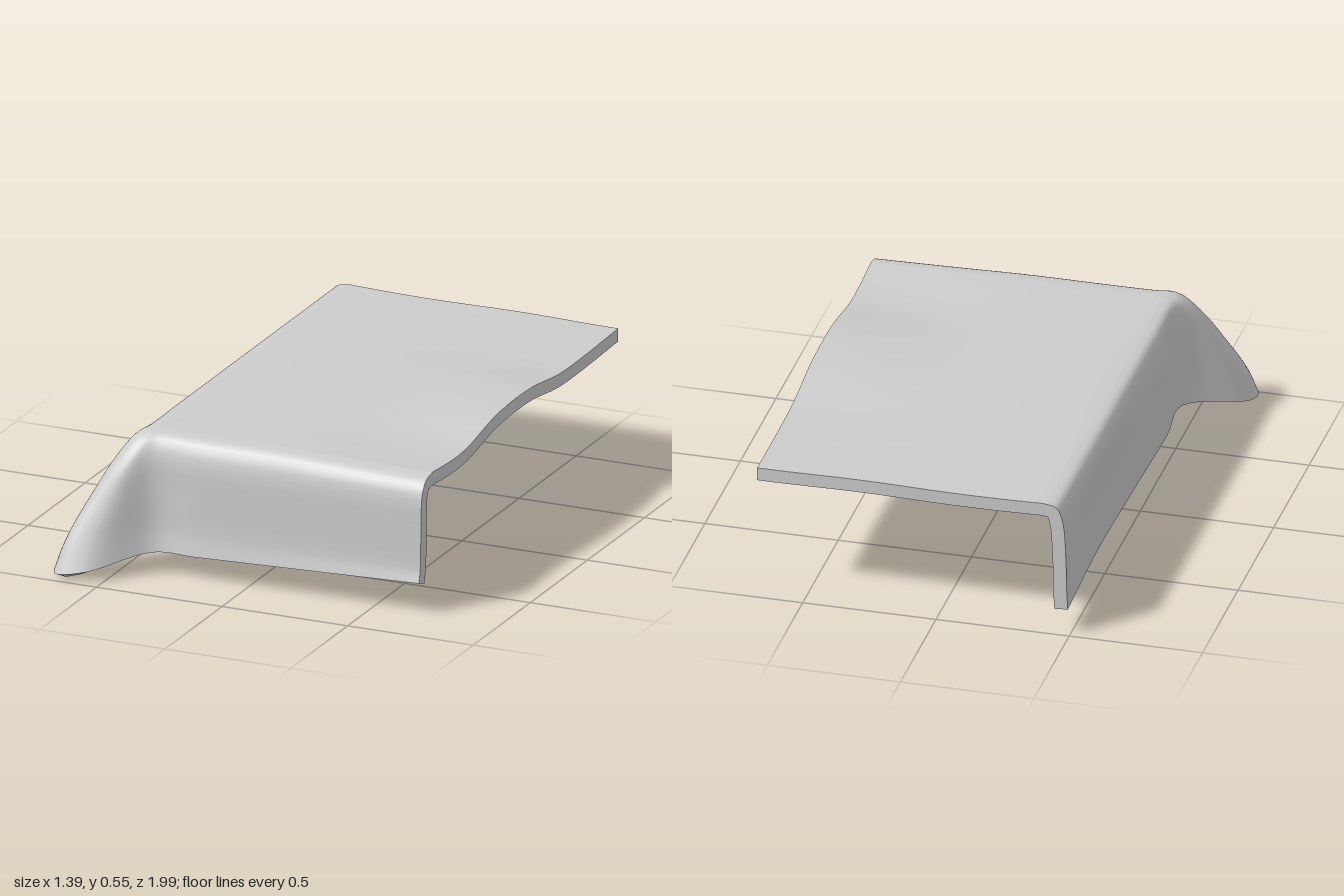
import * as THREE from 'three';

const V = (x, y, z) => new THREE.Vector3(x, y, z);
const THICK = 0.05;

// Gently rolling height of the top, wavier towards the right-hand edge
const waves = new THREE.SplineCurve([[-1, 0.552], [-0.5, 0.547], [-0.2, 0.58], [0.1, 0.577], [0.4, 0.532], [0.7, 0.545]]
  .map(([z, y]) => new THREE.Vector2(z, y)));
const waveTable = waves.getPoints(60);
function topHeight(x, z) {
  let k = waveTable.findIndex((p) => p.x >= z);
  if (k < 0) k = 60;
  const p = waveTable[Math.max(k - 1, 0)], q = waveTable[k];
  const f = q.x > p.x ? THREE.MathUtils.clamp((z - p.x) / (q.x - p.x), 0, 1) : 0;
  const edge = THREE.MathUtils.lerp(p.y, q.y, f);
  const calm = 0.558 + 0.006 * Math.sin(5 * x + 2) * Math.cos(3 * z);
  return THREE.MathUtils.lerp(calm, edge, THREE.MathUtils.smoothstep(x, 0, 0.66));
}

// Drop profiles, from the shoulder down to the hem
function frontDrop(x) {
  const top = topHeight(x, 0.67), hem = 0.115 + 0.035 * (x + 0.4);
  return [V(x, top, 0.67), V(x, top - 0.014, 0.73), V(x, 0.485, 0.765), V(x, 0.34, 0.776),
    V(x, 0.2, 0.782), V(x, hem, 0.795)];
}
function sideDrop(z) {
  const top = topHeight(-0.4, z), w = 0.008 * Math.sin(4 * z);
  return [V(-0.4, top, z), V(-0.45, top - 0.012, z), V(-0.474, 0.49, z), V(-0.48 - w, 0.35, z),
    V(-0.483 - w, 0.22, z), V(-0.487 - w, 0.135, z)];
}

// Corner flap: a ridge sweeping out to the tip, with a rounded side either way
const frontRoot = frontDrop(-0.37), sideRoot = sideDrop(0.64);
const ridge = [V(-0.4, 0.558, 0.67), V(-0.448, 0.54, 0.735), V(-0.51, 0.45, 0.8), V(-0.59, 0.3, 0.87),
  V(-0.65, 0.16, 0.935), V(-0.675, 0.05, 0.98)];
const flapSide = (root, dx, dz) => root.map((p, i) =>
  p.clone().lerp(ridge[i], 0.7).add(V(dx * i / 5, 0, dz * i / 5)));

const keys = [
  ...[0.69, 0.4, 0.1, -0.2].map(frontDrop), frontRoot,
  flapSide(frontRoot, 0.03, 0.045), ridge, flapSide(sideRoot, -0.07, -0.03),
  sideRoot, ...[0.4, 0, -0.5, -0.995].map(sideDrop),
];

// Stations run round the skirt; rows run from the far back corner out to the hem
const APEX = V(0.675, 0, -0.985), STATIONS = 84, TOP_ROWS = 22, DROP_ROWS = 20;
const ROWS = TOP_ROWS + DROP_ROWS;
function clothPoints() {
  const rails = keys[0].map((_, i) => new THREE.CatmullRomCurve3(keys.map((k) => k[i])));
  const grid = [];
  for (let j = 0; j <= STATIONS; j++) {
    const drop = new THREE.CatmullRomCurve3(rails.map((r) => r.getPoint(j / STATIONS)));
    const shoulder = drop.getPoint(0);
    const column = [];
    for (let i = 0; i < TOP_ROWS; i++) {
      const p = APEX.clone().lerp(shoulder, i / TOP_ROWS);
      p.y = topHeight(p.x, p.z);
      column.push(p);
    }
    for (let i = 0; i <= DROP_ROWS; i++) column.push(drop.getPoint(i / DROP_ROWS));
    grid.push(column);
  }
  return grid;
}

function sheet(grid, flip) {
  const index = [], n = ROWS + 1;
  for (let j = 0; j < STATIONS; j++) for (let i = 0; i < ROWS; i++) {
    const a = j * n + i, b = a + n;
    const quad = i ? [a, b, a + 1, b, b + 1, a + 1] : [a, b + 1, a + 1];
    index.push(...(flip ? quad.reverse() : quad));
  }
  const g = new THREE.BufferGeometry().setFromPoints(grid.flat());
  g.setIndex(index);
  g.computeVertexNormals();
  return g;
}

// Flat band closing the thickness along the open edges
function rim(outer, inner) {
  const border = (g) => [...g[0], ...g.slice(1, -1).map((c) => c[ROWS]), ...[...g[STATIONS]].reverse()];
  const o = border(outer), n = border(inner), pts = [];
  for (let k = 0; k < o.length - 1; k++) pts.push(o[k], o[k + 1], n[k], o[k + 1], n[k + 1], n[k]);
  const g = new THREE.BufferGeometry().setFromPoints(pts);
  g.computeVertexNormals();
  return g;
}

export function createModel() {
  const group = new THREE.Group();
  group.name = 'drapedBlanket';
  const material = new THREE.MeshStandardMaterial({ color: 0xcccccc });
  const add = (name, geometry) => {
    const mesh = new THREE.Mesh(geometry, material);
    mesh.name = name;
    group.add(mesh);
  };

  const outer = clothPoints();
  const outerSheet = sheet(outer, false);
  const normals = outerSheet.getAttribute('normal');
  // Lining: the outer cloth pushed inwards along its normals
  const inner = outer.map((column, j) => column.map((p, i) => {
    const n = i ? V(0, 0, 0).fromBufferAttribute(normals, j * (ROWS + 1) + i) : V(0, 1, 0);
    return p.clone().addScaledVector(n, -THICK);
  }));

  add('outerCloth', outerSheet);
  add('innerCloth', sheet(inner, true));
  add('clothEdge', rim(outer, inner));
  return group;
}
